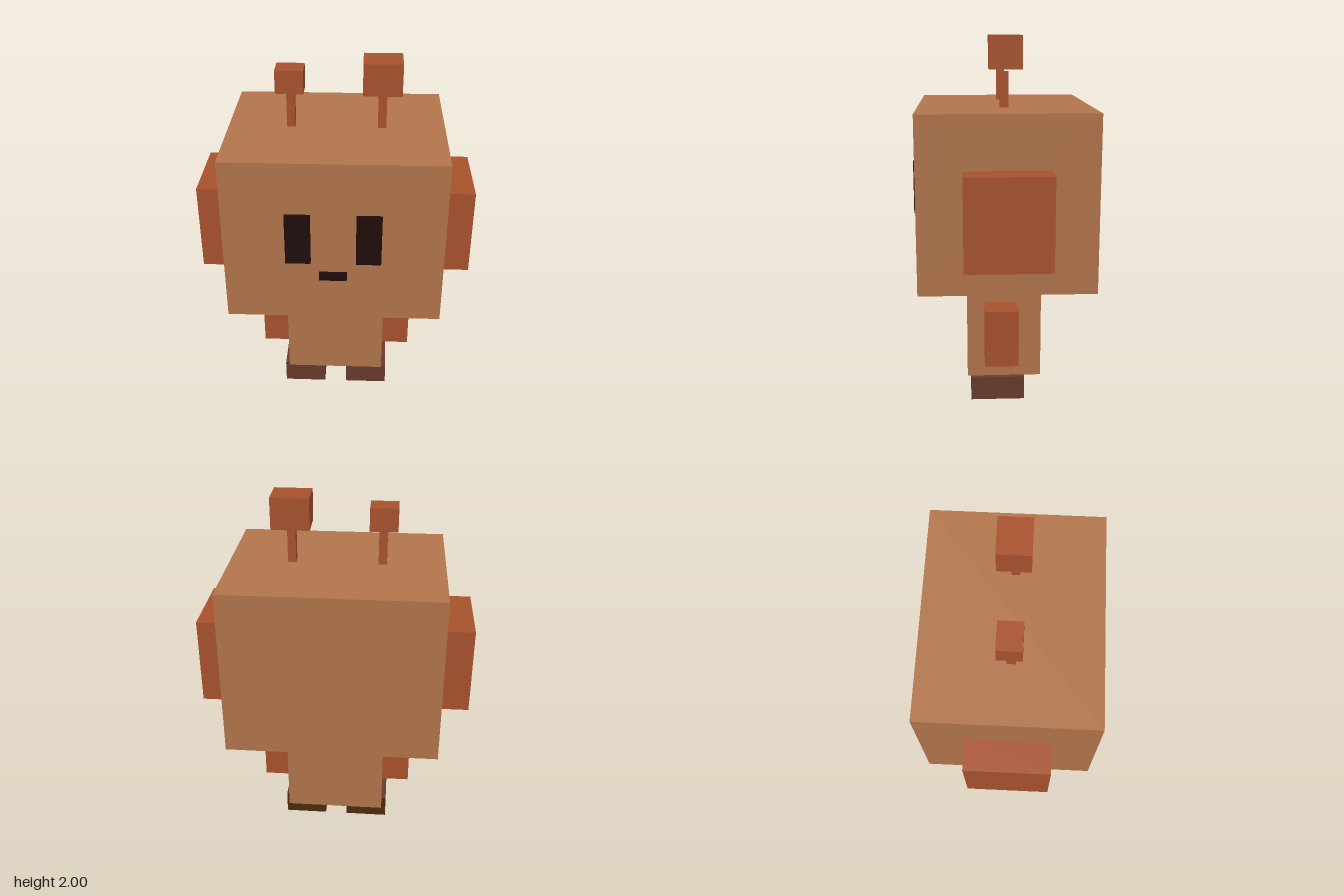
import * as THREE from 'three';

function mat(name, color) {
  const m = new THREE.MeshStandardMaterial({ color });
  m.name = name;
  return m;
}

export function createModel() {
  const model = new THREE.Group();
  model.name = 'robot';
  const tan = mat('tan', 0xb2754b);
  const rust = mat('rust', 0xa8522d);
  const brown = mat('brown', 0x673b2d);
  const darkBrown = mat('darkBrown', 0x4a2a10);
  const black = mat('black', 0x200c0c);

  // Box given by its [min, max] range on each axis
  function box(name, material, [x0, x1], [y0, y1], [z0, z1]) {
    const mesh = new THREE.Mesh(new THREE.BoxGeometry(x1 - x0, y1 - y0, z1 - z0), material);
    mesh.position.set((x0 + x1) / 2, (y0 + y1) / 2, (z0 + z1) / 2);
    mesh.name = name;
    model.add(mesh);
  }

  // Head and body, with a gap between them
  box('head', tan, [-0.573, 0.573], [0.708, 1.63], [-0.475, 0.447]);
  box('body', tan, [-0.278, 0.276], [0.132, 0.613], [-0.212, 0.195]);

  // Feet: darker on the heel and sole
  const footMaterials = [brown, brown, brown, darkBrown, brown, darkBrown];

  // Paired parts
  for (const [side, s] of [['left', 1], ['right', -1]]) {
    const span = (a, b) => (s > 0 ? [a, b] : [-b, -a]);
    box(side + 'Ear', rust, span(0.573, 0.737), [0.872, 1.35], [-0.232, 0.211]);
    box(side + 'Arm', rust, span(0.276, 0.432), [0.254, 0.566], [-0.08, 0.1]);
    box(side + 'Foot', footMaterials, span(0.064, 0.303), [0, 0.132], [-0.12, 0.176]);
    box(side + 'Eye', black, span(0.117, 0.248), [1.067, 1.346], [0.44, 0.473]);
    box(side + 'AntennaStem', rust, span(0.218, 0.262), [1.63, 1.815], [-0.032, 0.014]);
  }

  // Mouth
  box('mouth', black, [-0.075, 0.071], [0.963, 1.002], [0.44, 0.473]);

  // Floating antenna tips of unequal size
  box('leftAntennaTip', rust, [0.136, 0.338], [1.83, 2], [-0.1, 0.072]);
  box('rightAntennaTip', rust, [-0.316, -0.169], [1.826, 1.95], [-0.076, 0.048]);

  return model;
}
